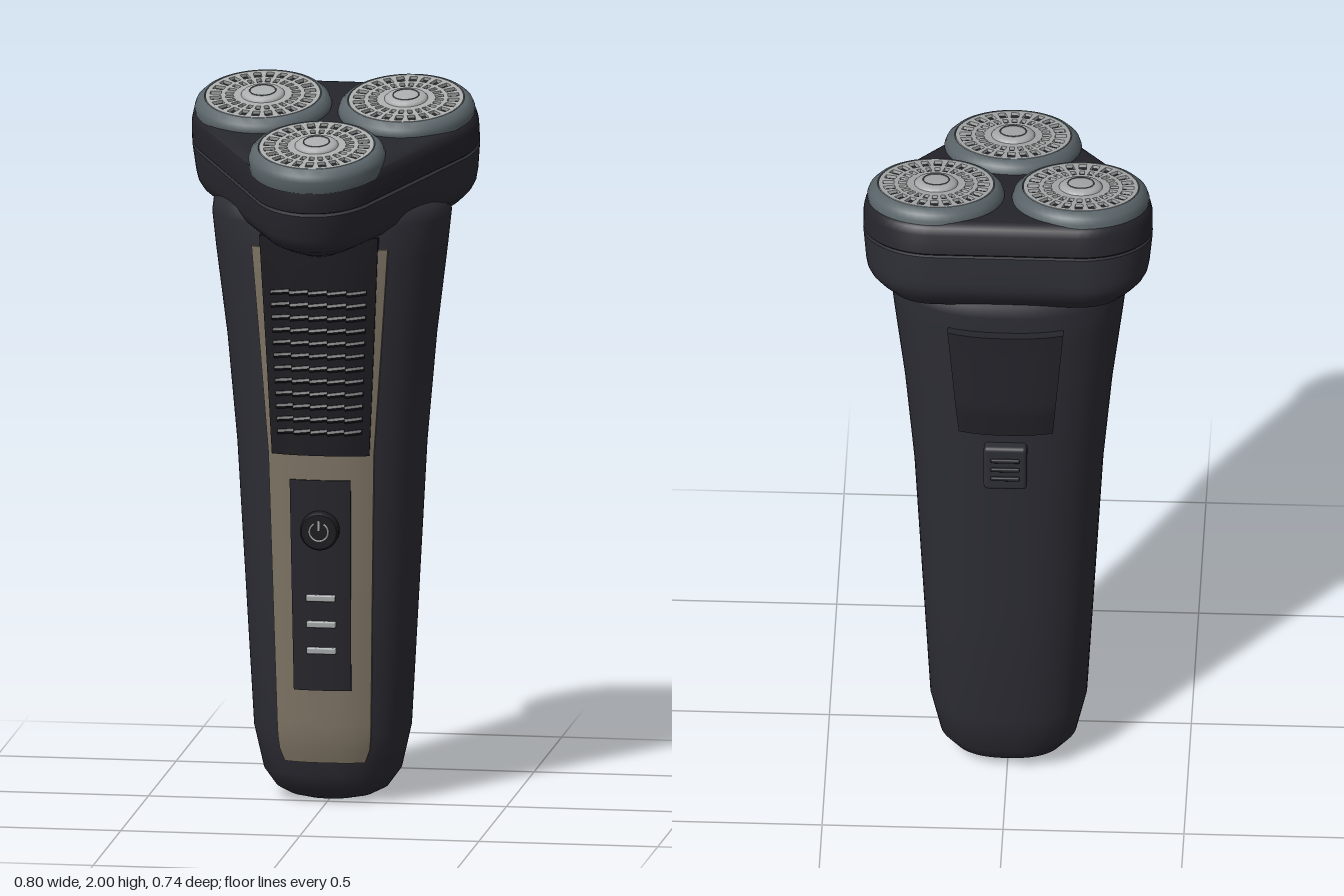
import * as THREE from 'three';
import { toCreasedNormals } from 'three/addons/utils/BufferGeometryUtils.js';
import { RoundedBoxGeometry } from 'three/addons/geometries/RoundedBoxGeometry.js';

const paint = (name, color) => Object.assign(new THREE.MeshStandardMaterial({ color }), { name });
const M = {
  body: paint('charcoal', 0x2d2d35),
  cap: paint('dark charcoal', 0x25252c),
  black: paint('black rubber', 0x1c1c21),
  trim: paint('bronze trim', 0x7f7565),
  rim: paint('steel grey', 0x5b656a),
  silver: paint('silver', 0xaaadad),
};
const N = 2.4; // roundness of the handle section

// Handle profile: y, half width, front z, back z
const LEVELS = [
  [0.004, 0.07, -0.02, -0.165], [0.012, 0.115, 0, -0.19], [0.032, 0.155, 0.022, -0.218],
  [0.08, 0.19, 0.046, -0.252], [0.2, 0.217, 0.07, -0.275], [0.6, 0.239, 0.1, -0.295],
  [1, 0.261, 0.128, -0.312], [1.3, 0.288, 0.143, -0.323], [1.55, 0.319, 0.16, -0.33],
  [1.65, 0.33, 0.165, -0.335], [1.685, 0.326, 0.16, -0.331], [1.705, 0.305, 0.14, -0.31],
];

const lerp = THREE.MathUtils.lerp;

// Piecewise linear lookup in rows sorted by their first entry
function at(rows, y) {
  let i = 1;
  while (i < rows.length - 1 && rows[i][0] < y) i++;
  const a = rows[i - 1], b = rows[i];
  const t = THREE.MathUtils.clamp((y - a[0]) / (b[0] - a[0]), 0, 1);
  return a.slice(1).map((v, k) => lerp(v, b[k + 1], t));
}

// Skin closed rings stacked from bottom to top, with fan caps
function loft(rings, crease = 0.6) {
  const n = rings[0].length, pos = rings.flat(2), idx = [];
  for (let i = 0; i < rings.length - 1; i++) for (let j = 0; j < n; j++) {
    const a = i * n + j, b = i * n + (j + 1) % n;
    idx.push(a, a + n, b, b, a + n, b + n);
  }
  [0, rings.length - 1].forEach((r, top) => {
    const c = pos.length / 3;
    for (let k = 0; k < 3; k++) pos.push(rings[r].reduce((s, p) => s + p[k], 0) / n);
    for (let j = 0; j < n; j++) {
      const a = r * n + j, b = r * n + (j + 1) % n;
      idx.push(c, top ? b : a, top ? a : b);
    }
  });
  const g = new THREE.BufferGeometry();
  g.setAttribute('position', new THREE.Float32BufferAttribute(pos, 3));
  g.setIndex(idx);
  return toCreasedNormals(g, crease);
}

// z of the handle skin at x, y; side is 1 for front, -1 for back
function skin(x, y, side) {
  const [rx, f, b] = at(LEVELS, y);
  const k = Math.pow(Math.max(0, 1 - Math.pow(Math.abs(x / rx), N)), 1 / N);
  return (f + b) / 2 + side * k * (f - b) / 2;
}

// Raised plate that follows the handle. rows: y, half width, height above the skin
function plate(rows, { side = 1, xc = 0, skew = 0, nx = 14, ny = 20 } = {}) {
  const y0 = rows[0][0], y1 = rows[rows.length - 1][0], rings = [];
  const ring = (y, flat) => {
    const [hw, off] = at(rows, y), pts = [];
    for (let pass = 0; pass < 2; pass++) for (let i = 0; i <= nx; i++) {
      const dx = side * (pass ? -1 : 1) * hw * (1 - 2 * i / nx);
      const yy = y + skew * dx, h = pass || flat ? -0.02 : off;
      pts.push([xc + dx, yy, skin(xc + dx, yy, side) + side * h]);
    }
    rings.push(pts);
  };
  ring(y0, true);
  for (let j = 0; j <= ny; j++) ring(lerp(y0, y1, j / ny), false);
  ring(y1, true);
  return loft(rings);
}

// Rounded triangle around the three cutters, shrunk by inset
const CUTTERS = [[0, 0.193], [-0.2, -0.14], [0.2, -0.14]];
function headRing(y, inset) {
  const arcs = [[28.8, 151.2, 0.185 - inset * 1.6], [151.2, 270, 0.2 - inset], [270, 388.8, 0.2 - inset]];
  return arcs.flatMap(([a0, a1, r], k) => Array.from({ length: 17 }, (_, i) => {
    const a = THREE.MathUtils.degToRad(lerp(a0, a1, i / 16));
    return [CUTTERS[k][0] + r * Math.cos(a), y, CUTTERS[k][1] + r * Math.sin(a)];
  }));
}

function add(parent, name, geo, mat, x = 0, y = 0, z = 0) {
  const m = new THREE.Mesh(geo, mat);
  m.name = name;
  m.position.set(x, y, z);
  parent.add(m);
  return m;
}

function group(parent, name) {
  const g = new THREE.Group();
  g.name = name;
  parent.add(g);
  return g;
}

const lathe = pts => toCreasedNormals(
  new THREE.LatheGeometry(pts.map(p => new THREE.Vector2(...p)), 48), 0.7);

// Silver foil disc with two rings of radial slots
function foilGeometry() {
  const shape = new THREE.Shape().absarc(0, 0, 0.159, 0, Math.PI * 2);
  const count = 24;
  for (const [r0, r1, w] of [[0.081, 0.104, 0.0068], [0.116, 0.147, 0.0105]])
    for (let i = 0; i < count; i++) {
      const a = (i / count) * Math.PI * 2, c = Math.cos(a), s = Math.sin(a);
      shape.holes.push(new THREE.Path([[r0, -w], [r1, -w], [r1, w], [r0, w]]
        .map(([u, v]) => new THREE.Vector2(u * c - v * s, u * s + v * c))));
    }
  return new THREE.ExtrudeGeometry(shape, { depth: 0.01, bevelEnabled: false, curveSegments: 32 })
    .rotateX(-Math.PI / 2);
}

function buildHead(root) {
  const head = group(root, 'shavingHead');
  head.position.y = 1.894;
  head.rotation.x = 0.227;
  const rings = rows => loft(rows.map(r => headRing(...r)));
  add(head, 'headHousing', rings([[-0.277, 0.08], [-0.25, 0.048], [-0.225, 0.024], [-0.205, 0.013],
    [-0.18, 0.008], [-0.1, 0], [-0.095, 0.007]]), M.body);
  add(head, 'headCap', rings([[-0.096, 0.007], [-0.09, 0], [-0.035, 0.001], [-0.014, 0.006],
    [-0.003, 0.016], [0, 0.028]]), M.cap);

  // Three identical rotary cutters
  const rim = lathe([[0.186, -0.03], [0.19, 0.004], [0.184, 0.02], [0.17, 0.033], [0.162, 0.035], [0.158, 0.026]]);
  const bed = new THREE.CircleGeometry(0.16, 40).rotateX(-Math.PI / 2);
  const foil = foilGeometry();
  const hub = lathe([[0.061, 0.03], [0.06, 0.037], [0.054, 0.043], [0.04, 0.046], [0.02, 0.047], [0, 0.047]]);
  const hubRing = new THREE.TorusGeometry(0.036, 0.0018, 6, 40).rotateX(Math.PI / 2);
  for (const [x, z] of CUTTERS) {
    const c = group(head, 'cutter');
    c.position.set(x, 0, z);
    add(c, 'cutterRim', rim, M.rim);
    add(c, 'cutterBed', bed, M.cap, 0, 0.026, 0);
    add(c, 'cutterFoil', foil, M.silver, 0, 0.025, 0);
    add(c, 'cutterHub', hub, M.silver);
    add(c, 'hubRing', hubRing, M.rim, 0, 0.0465, 0);
  }
}

function buildFront(root) {
  add(root, 'bronzePanel', plate([[0.12, 0.112, 0.008], [0.15, 0.125, 0.011], [0.2, 0.13, 0.012],
    [1, 0.147, 0.012], [1.585, 0.19, 0.012]], { ny: 40 }), M.trim);
  add(root, 'gripPanel', plate([[1, 0.136, 0.018], [1.62, 0.166, 0.018]]), M.black);

  // Rows of short slanted grip ribs
  const ribs = group(root, 'gripRibs');
  for (let i = 0; i < 12; i++) for (let j = -2; j <= 2; j++) {
    const y = 1.06 + i * 0.036, w = 0.0235 + i * 0.0003;
    add(ribs, 'gripRib', plate([[y, w, 0.021], [y + 0.008, w, 0.029], [y + 0.014, w, 0.022]],
      { xc: j * 2 * w, skew: 0.12, nx: 2, ny: 4 }), M.black);
  }

  // Control strip with button, power mark and charge lights
  add(root, 'controlStrip', plate([[0.33, 0.08, 0.017], [0.93, 0.085, 0.017]]), M.cap);
  const spot = (name, y) => {
    const g = group(root, name);
    g.position.set(0, y, skin(0, y, 1) + 0.017);
    g.rotation.x = 0.07;
    return g;
  };
  const button = spot('powerButton', 0.79);
  add(button, 'buttonCap', lathe([[0.054, -0.01], [0.054, 0.02], [0.049, 0.027], [0, 0.027]])
    .rotateX(Math.PI / 2), M.black);
  const mark = add(button, 'powerRing', new THREE.TorusGeometry(0.026, 0.003, 6, 28, Math.PI * 1.65), M.silver, 0, 0, 0.027);
  mark.rotation.z = Math.PI * 0.675;
  add(button, 'powerStroke', new THREE.BoxGeometry(0.006, 0.028, 0.005), M.silver, 0, 0.018, 0.027);
  for (const y of [0.445, 0.52, 0.595])
    add(spot('chargeLight', y), 'lightBar', new RoundedBoxGeometry(0.082, 0.018, 0.02, 2, 0.004), M.silver);
}

function buildBack(root) {
  add(root, 'trimmerCover', plate([[1.24, 0.13, 0.008], [1.34, 0.138, 0.026], [1.6, 0.16, 0.026]],
    { side: -1 }), M.cap);
  const slider = group(root, 'trimmerSlider');
  slider.position.set(0, 1.14, -0.334);
  slider.rotation.x = 0.04;
  add(slider, 'sliderBody', new RoundedBoxGeometry(0.12, 0.14, 0.04, 3, 0.012), M.body);
  for (const y of [-0.03, 0, 0.03])
    add(slider, 'sliderRib', new RoundedBoxGeometry(0.08, 0.012, 0.014, 2, 0.004), M.cap, 0, y, -0.02);
}

export function createModel() {
  const root = new THREE.Group();
  root.name = 'electricShaver';

  // Handle
  add(root, 'handle', loft(LEVELS.map(([y, rx, f, b]) => Array.from({ length: 72 }, (_, i) => {
    const a = (i / 72) * Math.PI * 2, c = Math.cos(a), s = Math.sin(a);
    const bend = v => Math.sign(v) * Math.pow(Math.abs(v), 2 / N);
    return [rx * bend(c), y, (f + b) / 2 + bend(s) * (f - b) / 2];
  })), 0.9), M.body);

  buildFront(root);
  buildBack(root);
  buildHead(root);

  // Charging port underneath
  add(root, 'portRing', new THREE.TorusGeometry(0.038, 0.005, 8, 32).rotateX(Math.PI / 2), M.rim, 0, 0.005, -0.092);
  add(root, 'portSocket', new THREE.CircleGeometry(0.036, 32).rotateX(Math.PI / 2), M.black, 0, 0.002, -0.092);
  return root;
}
